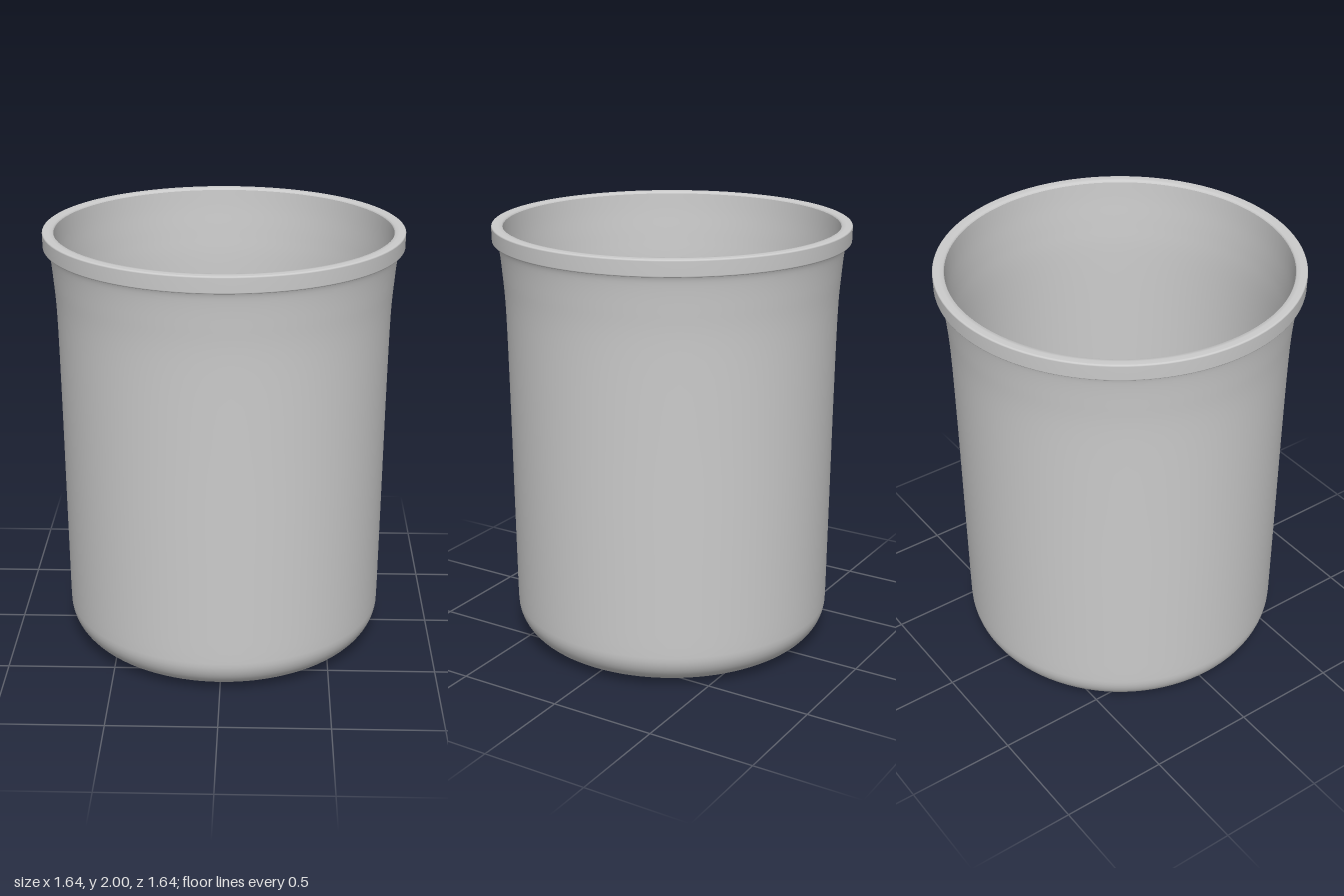
import * as THREE from 'three';

const SEGMENTS = 96;
const v = (x, y) => new THREE.Vector2(x, y);

// Rounded corner of a profile, from angle a to angle b
function arc(cx, cy, r, a, b, n = 12) {
  return Array.from({ length: n + 1 }, (_, i) => {
    const t = a + ((b - a) * i) / n;
    return v(cx + r * Math.cos(t), cy + r * Math.sin(t));
  });
}

export function createModel() {
  const group = new THREE.Group();
  group.name = 'beaker';
  const material = new THREE.MeshStandardMaterial({ color: 0xcccccc, side: THREE.DoubleSide });

  function turned(name, points) {
    const mesh = new THREE.Mesh(new THREE.LatheGeometry(points, SEGMENTS), material);
    mesh.name = name;
    group.add(mesh);
  }

  // Flared side of the vessel, from the bottom corner to the rim
  const flare = (pts) => new THREE.SplineCurve(pts).getPoints(32);

  // Outside: nearly flat base, rounded corner, slightly tapered wall
  turned('outerWall', [
    v(0, 0), v(0.3, 0.004), v(0.56, 0.009),
    ...arc(0.59, 0.17, 0.16, -Math.PI / 2, 0),
    ...flare([v(0.751, 0.22), v(0.755, 0.7), v(0.759, 1.2), v(0.765, 1.6), v(0.776, 1.78), v(0.787, 1.89), v(0.797, 1.925)]),
  ]);

  // Inside: wall down to a rounded floor corner
  turned('innerWall', [
    ...flare([v(0.767, 1.99), v(0.762, 1.9), v(0.752, 1.77), v(0.743, 1.6), v(0.738, 1.2), v(0.734, 0.7), v(0.73, 0.22)]),
    ...arc(0.58, 0.18, 0.15, 0, -Math.PI / 2),
    v(0.3, 0.026), v(0, 0.024),
  ]);

  // Rim band with softened edges
  turned('rimSide', [
    ...arc(0.812, 1.93, 0.006, -Math.PI / 2, 0, 4),
    ...arc(0.812, 1.992, 0.007, 0, Math.PI / 2, 4),
  ]);
  turned('rimTop', [v(0.812, 1.999), v(0.79, 2), v(0.772, 1.998), v(0.767, 1.99)]);
  turned('rimUnderside', [v(0.785, 1.924), v(0.812, 1.924)]);

  return group;
}
